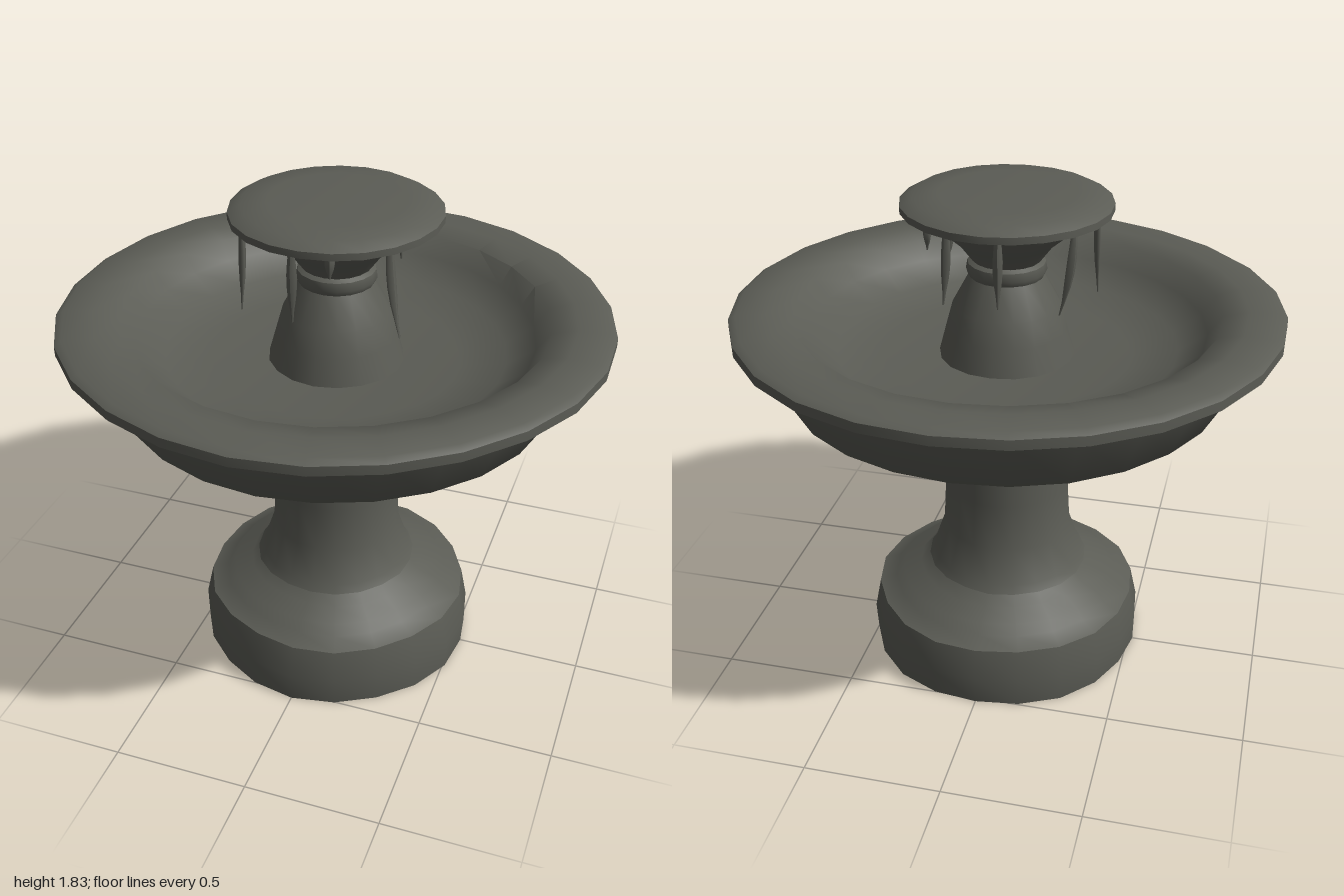
import * as THREE from 'three';
import { toCreasedNormals } from 'three/addons/utils/BufferGeometryUtils.js';

const stone = new THREE.MeshStandardMaterial({ color: 0x5b5c55 });
stone.name = 'dark stone';

// Worn, turned stone: a lathe with a slight irregular wobble
function turned(name, profile, segments, wobble, phase) {
  const points = profile.map(([r, y]) => new THREE.Vector2(r, y));
  const geometry = new THREE.LatheGeometry(points, segments);
  const p = geometry.attributes.position;
  for (let i = 0; i < p.count; i++) {
    const x = p.getX(i), y = p.getY(i), z = p.getZ(i);
    const a = Math.atan2(z, x);
    const k = 1 + wobble * Math.sin(3 * a + phase + y * 5) * Math.cos(2 * a - phase);
    p.setXYZ(i, x * k, y, z * k);
  }
  const mesh = new THREE.Mesh(toCreasedNormals(geometry, 0.75), stone);
  mesh.name = name;
  return mesh;
}

// Hanging trickle: flattened tapering strand, bowed outward
function trickle([x, z, bottom, bow]) {
  const top = 1.79, length = top - bottom;
  const geometry = new THREE.CylinderGeometry(1, 1, length, 6, 6);
  const p = geometry.attributes.position;
  for (let i = 0; i < p.count; i++) {
    const t = 0.5 - p.getY(i) / length;
    const r = 0.009 + 0.011 * Math.sin(Math.PI * Math.min(1, t * 1.1)) - 0.006 * t;
    p.setX(i, p.getX(i) * r * 1.1);
    p.setZ(i, p.getZ(i) * r * 0.75 + bow * (t * t - 0.4));
  }
  geometry.computeVertexNormals();
  const mesh = new THREE.Mesh(geometry, stone);
  mesh.name = 'trickle';
  mesh.position.set(x, (top + bottom) / 2, z);
  mesh.rotation.y = Math.atan2(x, z);
  return mesh;
}

export function createModel() {
  const model = new THREE.Group();
  model.name = 'fountain';

  // Stepped foot and column with collar
  const foot = turned('foot', [
    [0, 0.01], [0.525, 0.01], [0.53, 0.12], [0.505, 0.24], [0.44, 0.265],
    [0.41, 0.3], [0.34, 0.325], [0.29, 0.38],
  ], 20, 0.02, 0.6);
  const column = turned('column', [
    [0.31, 0.36], [0.29, 0.39], [0.245, 0.52], [0.235, 0.7], [0.24, 0.85], [0.275, 0.865],
    [0.292, 0.89], [0.28, 0.93], [0.265, 0.935], [0.29, 0.975], [0.29, 0.99],
  ], 20, 0.015, 1.2);

  // Wide basin: underside, rolled rim, hollow inside
  const basin = turned('basin', [
    [0, 0.975], [0.42, 0.975], [0.62, 1.05], [0.8, 1.14], [0.895, 1.345], [0.96, 1.36],
    [0.995, 1.38], [0.995, 1.415], [0.97, 1.43], [0.86, 1.43], [0.77, 1.41],
    [0.72, 1.34], [0.62, 1.27], [0.45, 1.24], [0, 1.24],
  ], 26, 0.006, 2.1);

  // Small pedestal flaring up to the top plate
  const pedestal = turned('pedestal', [
    [0.25, 1.23], [0.22, 1.34], [0.195, 1.43], [0.135, 1.54], [0.145, 1.56], [0.14, 1.59],
    [0.125, 1.6], [0.17, 1.66], [0.24, 1.72], [0.27, 1.78],
  ], 18, 0.01, 0.3);
  const topPlate = turned('topPlate', [
    [0, 1.775], [0.345, 1.775], [0.375, 1.785], [0.375, 1.81], [0.33, 1.835], [0.24, 1.842], [0, 1.842],
  ], 22, 0.006, 1.5);
  model.add(foot, column, basin, pedestal, topPlate);

  // Trickles: x, z, bottom height, outward bow
  const trickles = new THREE.Group();
  trickles.name = 'trickles';
  [
    [-0.04, 0.335, 1.53, 0], [0.255, 0.15, 1.44, 0.06], [-0.3, 0.14, 1.44, 0.01],
    [0.15, -0.27, 1.52, 0.02], [-0.25, -0.16, 1.46, -0.06],
    [0.225, -0.22, 1.69, 0], [0.08, 0.3, 1.69, 0], [-0.04, -0.3, 1.53, 0],
  ].forEach((t) => trickles.add(trickle(t)));
  model.add(trickles);

  return model;
}
